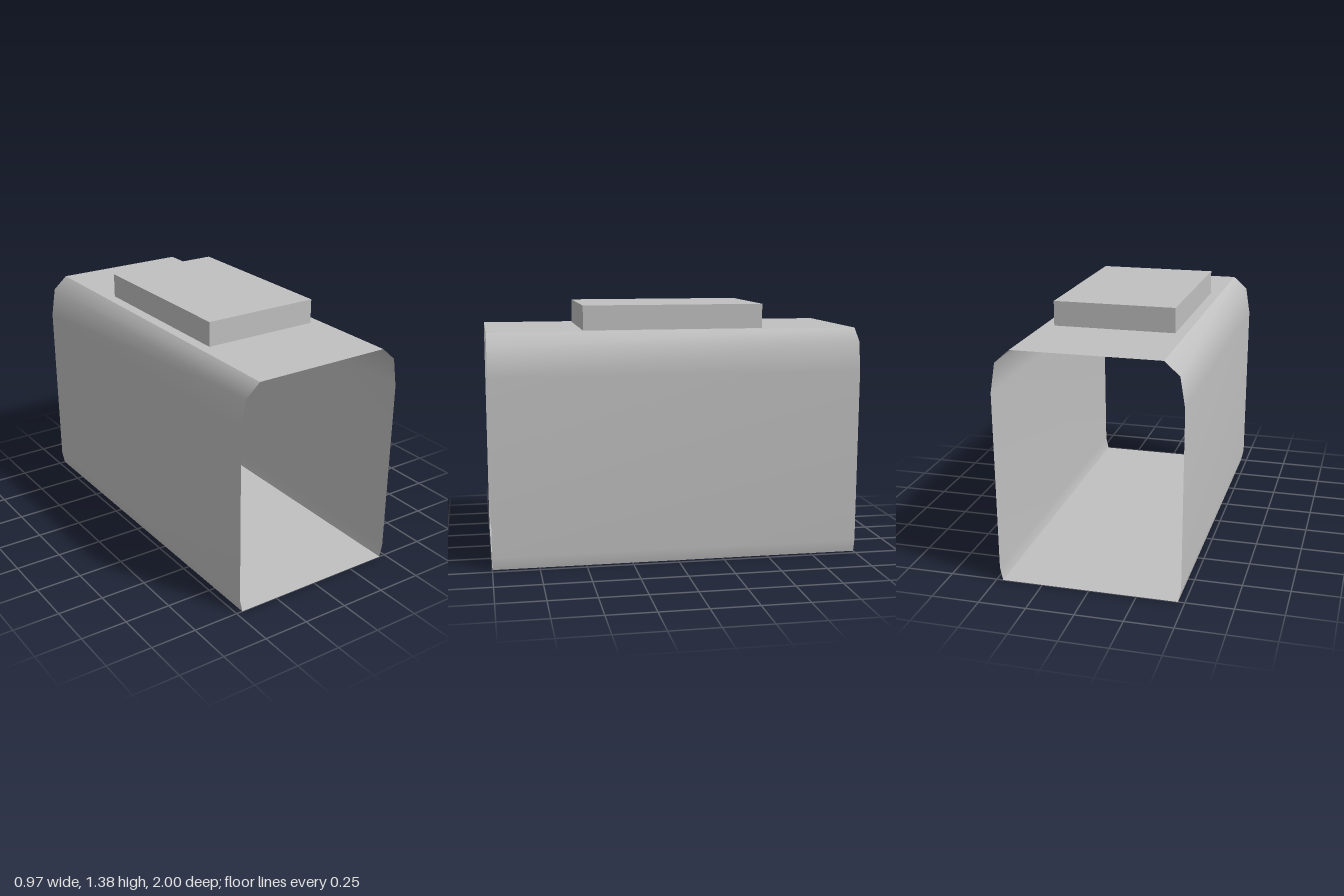
import * as THREE from 'three';

const HALF_LENGTH = 1;

// Sweeps an open profile along z; normals are smooth within one strip.
// Points run counter-clockwise as seen from the front, so faces look outward.
function strip(points) {
  const positions = [];
  const index = [];
  points.forEach(([x, y], i) => {
    positions.push(x, y, HALF_LENGTH, x, y, -HALF_LENGTH);
    if (i > 0) {
      const a = 2 * (i - 1);
      index.push(a, a + 1, a + 3, a, a + 3, a + 2);
    }
  });
  const geometry = new THREE.BufferGeometry();
  geometry.setAttribute('position', new THREE.Float32BufferAttribute(positions, 3));
  geometry.setIndex(index);
  geometry.computeVertexNormals();
  return geometry;
}

export function createModel() {
  const model = new THREE.Group();
  const grey = new THREE.MeshStandardMaterial({ color: 0xc0c0c0, side: THREE.DoubleSide });
  grey.name = 'light grey';

  const add = (name, geometry, parent) => {
    const mesh = new THREE.Mesh(geometry, grey);
    mesh.name = name;
    parent.add(mesh);
    return mesh;
  };

  // Thin open-ended sleeve with rounded shoulders
  const sleeve = new THREE.Group();
  sleeve.name = 'sleeve';
  model.add(sleeve);

  const side = [[0.465, 0], [0.48, 0.07], [0.487, 1.02], [0.462, 1.176], [0.383, 1.246]];
  const mirrored = side.map(([x, y]) => [-x, y]).reverse();
  const [foot, shoulder] = [side[0], side[side.length - 1]];

  add('leftWall', strip(side), sleeve);
  add('roof', strip([shoulder, mirrored[0]]), sleeve);
  add('rightWall', strip(mirrored), sleeve);
  add('floor', strip([mirrored[mirrored.length - 1], foot]), sleeve);

  // Raised block on the roof
  const block = add('roofBlock', new THREE.BoxGeometry(0.65, 0.132, 0.98), model);
  block.position.y = 1.312;

  return model;
}
